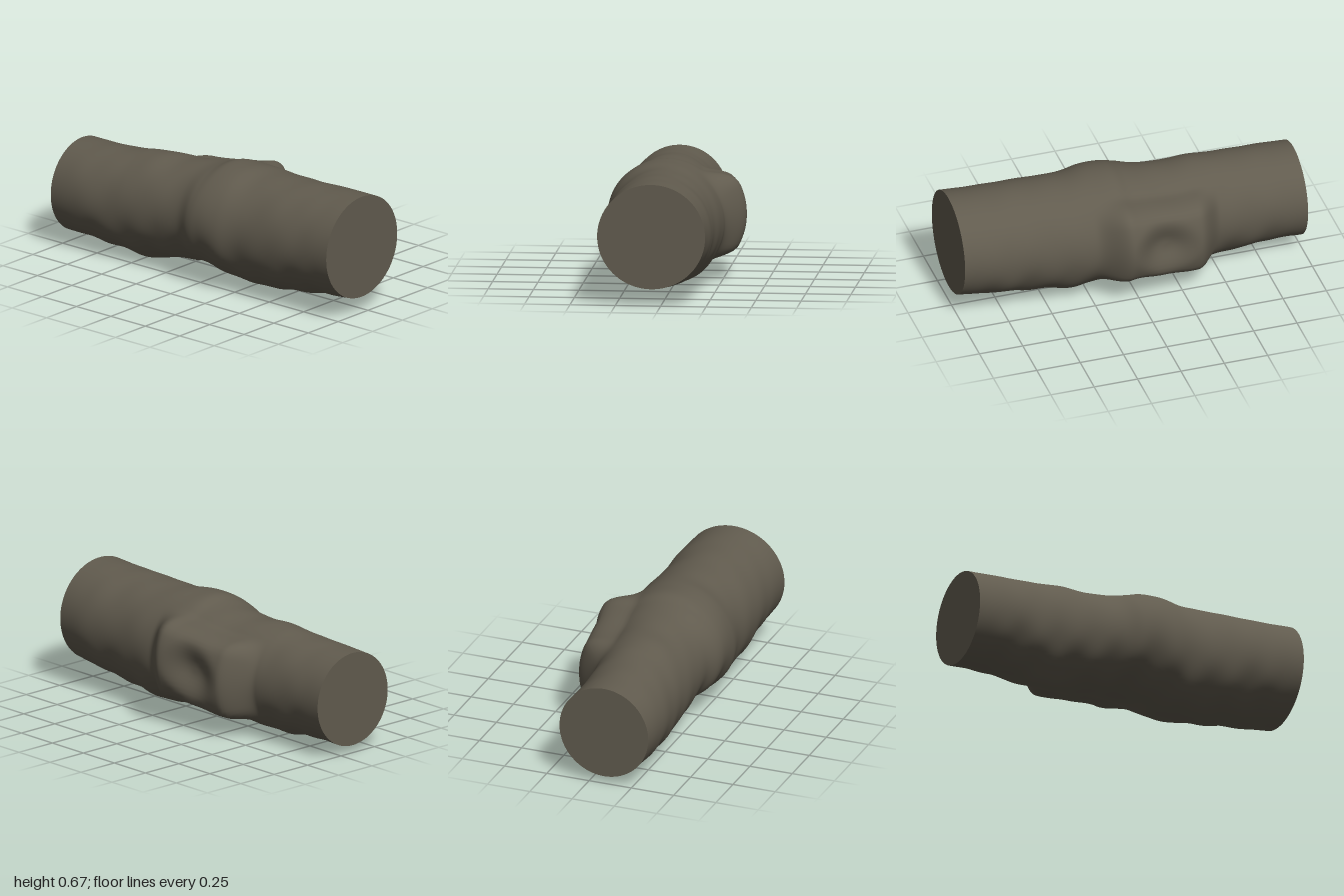
import * as THREE from 'three';

// Stations along the log: x, top y, bottom y, front z, back z
const STATIONS = [
  [-1, 0.58, 0.05, 0.35, -0.175], [-0.8, 0.585, 0.05, 0.36, -0.168],
  [-0.6, 0.6, 0.033, 0.345, -0.175], [-0.5, 0.612, 0.03, 0.34, -0.185],
  [-0.4, 0.62, 0.033, 0.338, -0.2], [-0.25, 0.62, 0.052, 0.335, -0.22],
  [-0.1, 0.638, 0.076, 0.335, -0.24], [0, 0.655, 0.08, 0.37, -0.26],
  [0.08, 0.678, 0.07, 0.376, -0.27], [0.2, 0.68, 0.038, 0.375, -0.275],
  [0.35, 0.67, 0.03, 0.35, -0.275], [0.6, 0.67, 0.05, 0.35, -0.255],
  [0.8, 0.675, 0.08, 0.345, -0.258], [1, 0.68, 0.1, 0.35, -0.245],
];
const ROWS = 130;
const SIDES = 96;
const step = THREE.MathUtils.smoothstep;

const spline = (a, b) => new THREE.CatmullRomCurve3(
  STATIONS.map((s) => new THREE.Vector3(s[0], s[a], s[b])), false, 'catmullrom', 0.5);
const heightCurve = spline(1, 2);
const depthCurve = spline(3, 4);

// Raised knot on the back with a shallow dish inside its rim
function knot(x, a) {
  const da = a - Math.PI;
  const plateau = step(x, -0.5, -0.34) * (1 - step(x, 0.06, 0.25)) * (1 - step(Math.abs(da), 0.42, 0.95));
  const d = Math.hypot((x + 0.14) / 0.21, (da + 0.03) / 0.45);
  return 0.115 * plateau - 0.06 * (1 - step(d, 0.1, 1));
}

// Gentle bark unevenness, strongest on the underside and fading at the ends
function bark(x, a) {
  const under = 0.3 + 0.7 * step(-Math.sin(a), -0.1, 0.7);
  const wave = Math.sin(x * 17 + 2 * a) * Math.sin(3 * a + x * 5) + 0.6 * Math.sin(x * 31 - 4 * a);
  return 0.0045 * wave * under * (1 - step(Math.abs(x), 0.75, 1));
}

// Pointed lump under the left part of the log
function ridge(x, a) {
  const da = Math.abs(a - Math.PI * 1.5 - 0.1);
  return 0.03 * Math.exp(-(((x + 0.48) / 0.1) ** 2)) * Math.max(0, 1 - da / 0.4);
}

function ringPoint(t, j) {
  const h = heightCurve.getPoint(t);
  const d = depthCurve.getPoint(t);
  const a = (j / SIDES) * Math.PI * 2;
  const extra = knot(h.x, a) + bark(h.x, a) + ridge(h.x, a);
  return [
    h.x,
    (h.y + h.z) / 2 + Math.sin(a) * ((h.y - h.z) / 2 + extra),
    (d.y + d.z) / 2 + Math.cos(a) * ((d.y - d.z) / 2 + extra),
  ];
}

function makeGeometry(positions, indices) {
  const g = new THREE.BufferGeometry();
  g.setAttribute('position', new THREE.Float32BufferAttribute(positions, 3));
  g.setIndex(indices);
  g.computeVertexNormals();
  return g;
}

// Smooth side surface lofted through the rings
function trunkGeometry() {
  const positions = [];
  const indices = [];
  for (let i = 0; i <= ROWS; i++) {
    for (let j = 0; j < SIDES; j++) {
      positions.push(...ringPoint(i / ROWS, j));
      if (i === ROWS) continue;
      const k = (j + 1) % SIDES;
      const a = i * SIDES + j, b = a + SIDES;
      const c = (i + 1) * SIDES + k, d = i * SIDES + k;
      indices.push(a, b, c, a, c, d);
    }
  }
  return makeGeometry(positions, indices);
}

// Flat sawn end
function endGeometry(t) {
  const x = t * 2 - 1;
  const positions = [x, 0.36, 0.06];
  const indices = [];
  for (let j = 0; j < SIDES; j++) {
    positions.push(...ringPoint(t, j));
    const a = j + 1, b = ((j + 1) % SIDES) + 1;
    indices.push(0, ...(t === 1 ? [b, a] : [a, b]));
  }
  return makeGeometry(positions, indices);
}

export function createModel() {
  const group = new THREE.Group();
  group.name = 'log';
  const wood = new THREE.MeshStandardMaterial({ color: 0x615b4e });
  wood.name = 'grey brown wood';
  const add = (name, geometry) => {
    const mesh = new THREE.Mesh(geometry, wood);
    mesh.name = name;
    group.add(mesh);
  };
  add('trunk', trunkGeometry());
  add('leftEnd', endGeometry(1));
  add('rightEnd', endGeometry(0));
  return group;
}
